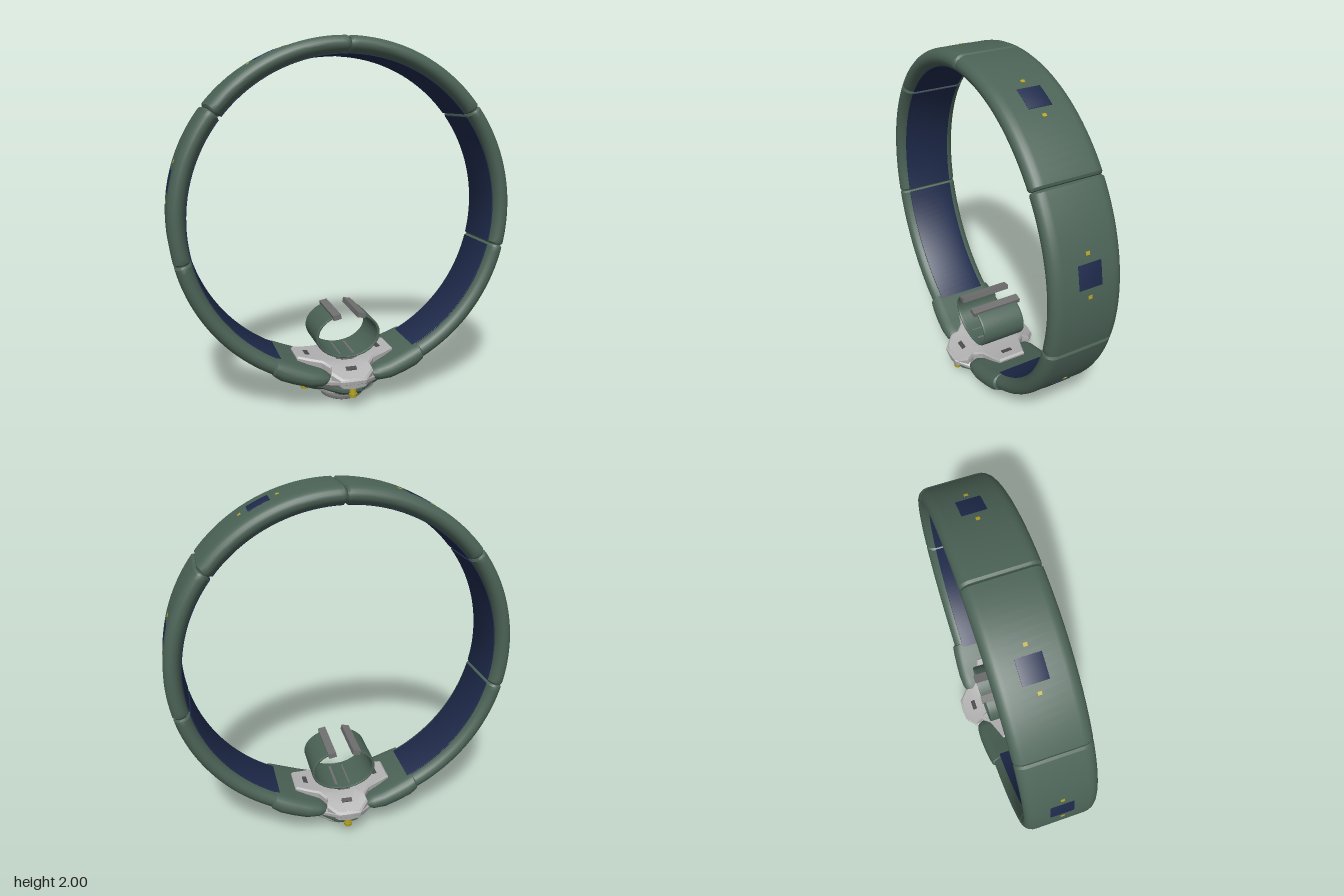
import * as THREE from 'three';
import { toCreasedNormals } from 'three/addons/utils/BufferGeometryUtils.js';

const material = (name, color) => {
  const m = new THREE.MeshStandardMaterial({ color });
  m.name = name;
  return m;
};

// Closed loft through equal-length loops, capped at both ends, always facing outward
function loft(loops, crease = 0.6) {
  const n = loops[0].length;
  const pts = loops.flat();
  const index = [];
  for (let i = 0; i < loops.length - 1; i++) {
    for (let j = 0; j < n; j++) {
      const a = i * n + j, b = i * n + (j + 1) % n;
      index.push(a, b, a + n, b, b + n, a + n);
    }
  }
  const cap = (start, flip) => {
    const c = new THREE.Vector3();
    for (let j = 0; j < n; j++) c.addScaledVector(pts[start + j], 1 / n);
    const k = pts.push(c) - 1;
    for (let j = 0; j < n; j++) {
      const a = start + j, b = start + (j + 1) % n;
      index.push(...(flip ? [b, a, k] : [a, b, k]));
    }
  };
  const last = (loops.length - 1) * n;
  cap(0, true);
  cap(last, false);
  let volume = 0;
  const t = new THREE.Vector3();
  for (let i = 0; i < index.length; i += 3) {
    volume += pts[index[i]].dot(t.crossVectors(pts[index[i + 1]], pts[index[i + 2]]));
  }
  if (volume < 0) index.reverse();
  const g = new THREE.BufferGeometry().setFromPoints(pts);
  g.setIndex(index);
  return toCreasedNormals(g, crease);
}

// Rounded rectangle as [u, v] pairs, elliptical corners cu by cv
function roundedRect(hu, hv, cu, cv, steps = 5) {
  const out = [];
  [[1, 1], [-1, 1], [-1, -1], [1, -1]].forEach(([su, sv], q) => {
    for (let i = 0; i <= steps; i++) {
      const a = (q + i / steps) * Math.PI / 2;
      out.push([su * (hu - cu) + cu * Math.cos(a), sv * (hv - cv) + cv * Math.sin(a)]);
    }
  });
  return out;
}

// Curved band around the z axis, with softly rounded ends
function arcBand(r0, r1, halfZ, cr, cz, a0, a1, steps, soft = 0) {
  const mid = (r0 + r1) / 2;
  const section = roundedRect((r1 - r0) / 2, halfZ, cr, cz);
  const stations = [];
  for (let i = 0; i <= steps; i++) stations.push([a0 + (a1 - a0) * i / steps, 1]);
  if (soft) {
    stations[0][0] += soft;
    stations[steps][0] -= soft;
    stations.unshift([a0, 0.8]);
    stations.push([a1, 0.8]);
  }
  return loft(stations.map(([a, s]) => section.map(([u, v]) => {
    const r = mid + u * s;
    return new THREE.Vector3(r * Math.cos(a), r * Math.sin(a), v - Math.sign(v) * (1 - s) * 0.03);
  })));
}

// Plate from stacked copies of a mirrored quarter outline: layers are [scale, height]
function shell(quarter, layers, heightAt) {
  const q = quarter.map(([x, z]) => [x, z]);
  const inner = q.slice(1, -1);
  const outline = [...q, ...inner.slice().reverse().map(([x, z]) => [-x, z]),
    [-q[0][0], 0], ...inner.map(([x, z]) => [-x, -z]),
    [0, -q[q.length - 1][1]], ...inner.slice().reverse().map(([x, z]) => [x, -z])];
  return loft(layers.map(([s, dy]) => outline.map(([x, z]) =>
    new THREE.Vector3(x * s, heightAt(x * s, z * s) + dy, z * s))), 0.45);
}

export function createModel() {
  const model = new THREE.Group();
  const green = material('strap green', 0x4c6357);
  const navy = material('panel navy', 0x1f2b4c);
  const light = material('light metal', 0xb2b2b2);
  const grey = material('dark metal', 0x707070);
  const recess = material('recess grey', 0x4a4a4a);
  const yellow = material('lug yellow', 0xb5a524);
  const add = (name, geometry, mat, x = 0, y = 0, z = 0, parent = model) => {
    const mesh = new THREE.Mesh(geometry, mat);
    mesh.name = name;
    mesh.position.set(x, y, z);
    parent.add(mesh);
    return mesh;
  };

  // Belt: six padded segments, leaving the bottom seventh for the buckle
  const belt = new THREE.Group();
  belt.name = 'belt';
  belt.position.y = 1.06;
  model.add(belt);
  const step = Math.PI * 2 / 7, R = 0.94;
  for (let i = 0; i < 6; i++) {
    const a0 = Math.PI / 2 + (i - 3) * step, mid = a0 + step / 2;
    add('beltSegment', arcBand(0.85, R, 0.186, 0.044, 0.055, a0 + 0.002, a0 + step - 0.002, 20, 0.012), green, 0, 0, 0, belt);
    add('innerLining', arcBand(0.846, 0.853, 0.14, 0.002, 0.002, a0 + 0.012, a0 + step - 0.012, 20), navy, 0, 0, 0, belt);
    add('outerPanel', arcBand(R - 0.004, R + 0.002, 0.06, 0.001, 0.001, mid - 0.064, mid + 0.064, 5), navy, 0, 0, -0.005, belt);
    for (const s of [-1, 1]) {
      const a = mid + s * 0.112;
      add('panelStud', arcBand(R - 0.004, R + 0.003, 0.01, 0.001, 0.001, a - 0.009, a + 0.009, 2), yellow, 0, 0, -0.002, belt);
    }
  }

  // Cuffs: tapering pads joining belt and buckle; [top x, top y, bottom x, bottom y, half depth]
  const stations = [
    [0.41, 0.305, 0.435, 0.24, 0.188], [0.40, 0.312, 0.43, 0.22, 0.2], [0.36, 0.296, 0.39, 0.19, 0.206],
    [0.30, 0.27, 0.32, 0.163, 0.212], [0.22, 0.238, 0.235, 0.137, 0.216],
    [0.16, 0.22, 0.165, 0.132, 0.212], [0.125, 0.205, 0.13, 0.143, 0.2], [0.11, 0.185, 0.11, 0.162, 0.18],
  ];
  for (const side of [-1, 1]) {
    add('beltCuff', loft(stations.map(([tx, ty, bx, by, hz]) =>
      roundedRect(0.5, hz, 0.48, 0.06).map(([u, v]) => new THREE.Vector3(
        side * (bx + (tx - bx) * (u + 0.5)), by + (ty - by) * (u + 0.5), v)))), green);
  }

  // Buckle: saddle-shaped cross plate over a flared tray
  const saddleY = (x, z) => 0.25 + 0.45 * x * x - Math.max(0, Math.abs(z) - 0.14) * 0.5;
  add('buckleSaddle', shell(
    [[0.28, 0], [0.28, 0.08], [0.22, 0.1], [0.15, 0.125], [0.11, 0.17], [0.12, 0.21], [0.065, 0.262], [0, 0.268]],
    [[0.75, -0.1], [0.98, -0.05], [1, -0.012], [0.96, 0], [0.8, 0], [0.6, 0], [0.3, 0]], saddleY), light);
  const trayOutline = [[0.31, 0], [0.305, 0.05], [0.25, 0.1], [0.18, 0.145], [0.135, 0.2], [0.065, 0.265], [0, 0.27]];
  add('buckleTray', shell(trayOutline,
    [[0.55, -0.06], [0.88, -0.04], [0.99, -0.018], [1, 0], [0.93, 0.018], [0.5, 0.018]],
    (x, z) => 0.147 + 0.5 * z * z), light);
  add('lowerPad', shell(trayOutline,
    [[0.5, 0.065], [0.74, 0.08], [0.82, 0.1], [0.82, 0.115], [0.7, 0.125]], () => 0), green);

  // Slots in the saddle
  for (const s of [-1, 1]) {
    add('saddleSlot', new THREE.BoxGeometry(0.025, 0.006, 0.06), recess, s * 0.21, saddleY(0.21, 0) + 0.001, 0)
      .rotation.z = s * 0.18;
    add('saddleSlot', new THREE.BoxGeometry(0.06, 0.006, 0.025), recess, 0, saddleY(0, 0.19) + 0.002, s * 0.19)
      .rotation.x = s * 0.46;
  }

  // Round hub underneath with a slotted cap
  const lathe = (pts) => toCreasedNormals(new THREE.LatheGeometry(
    pts.map(([x, y]) => new THREE.Vector2(x, y)), 40), 0.5);
  add('hubCone', lathe([[0, 0.035], [0.1, 0.035], [0.13, 0.05], [0.19, 0.08], [0.17, 0.1], [0, 0.1]]), grey);
  add('hubCap', lathe([[0, 0.003], [0.095, 0.003], [0.12, 0.017], [0.12, 0.032], [0.1, 0.04], [0, 0.04]]), grey);
  add('hubSlot', new THREE.BoxGeometry(0.13, 0.006, 0.014), recess, 0, 0.003, 0);

  // Four lugs around the hub
  for (let i = 0; i < 4; i++) {
    const a = i * Math.PI / 2, y = i % 2 ? 0.1 : 0.085;
    const lug = new THREE.Group();
    lug.name = 'lug';
    lug.position.set(Math.cos(a) * 0.22, y, Math.sin(a) * 0.22);
    model.add(lug);
    add('lugBody', new THREE.CylinderGeometry(0.019, 0.019, 0.06, 16), yellow, 0, 0.004, 0, lug);
    add('lugHead', new THREE.CylinderGeometry(0.024, 0.021, 0.022, 16), yellow, 0, -0.013, 0, lug);
  }

  // Open clasp inside the ring
  const clasp = add('claspBand', arcBand(0.168, 0.184, 0.13, 0.004, 0.01, Math.PI * 0.615, Math.PI * 2.385, 48), green, 0.003, 0.394, 0);
  clasp.scale.y = 0.71;
  for (const s of [-1, 1]) {
    add('claspTip', new THREE.BoxGeometry(0.045, 0.028, 0.3), grey, s * 0.07 + 0.003, 0.511, 0).rotation.z = -s * 0.2;
    add('claspMount', new THREE.BoxGeometry(0.025, 0.03, 0.2), grey, s * 0.045, 0.264, 0);
  }
  add('claspBase', new THREE.BoxGeometry(0.07, 0.02, 0.24), grey, 0, 0.262, 0);

  return model;
}
